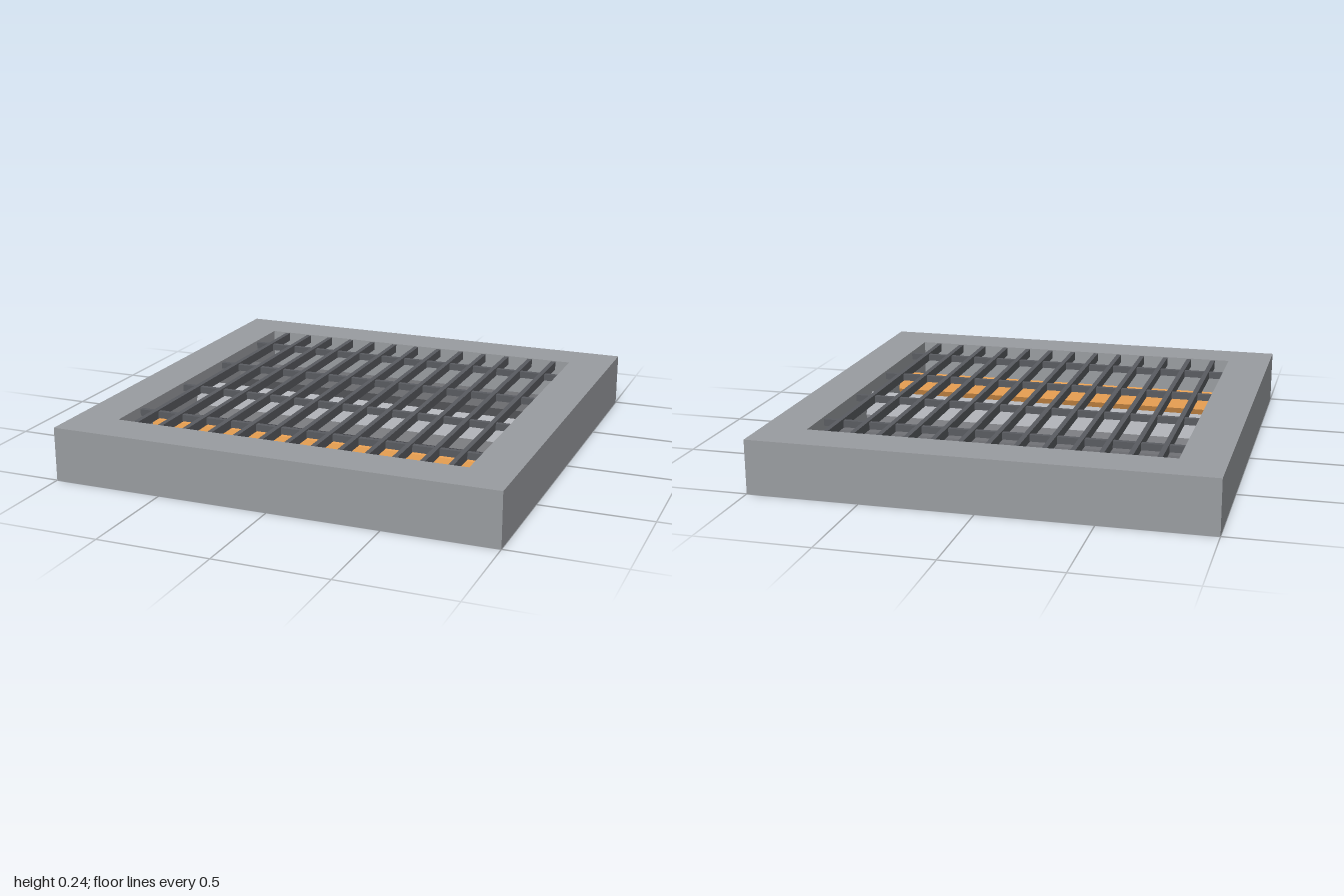
import * as THREE from 'three';

const flat = (name, color, flatShading = false) => {
  const m = new THREE.MeshStandardMaterial({ color, flatShading });
  m.name = name;
  return m;
};

export function createModel() {
  const model = new THREE.Group();
  model.name = 'floorGrateTile';
  const frameGray = flat('frame gray', 0x9a9da1);
  const grateGray = flat('grate gray', 0x5a5c61);
  const pitDark = flat('pit dark', 0x2d2d35);
  const glowCyan = flat('strip cyan', 0x4cbccd);
  const pipeDark = flat('pipe dark gray', 0x6a6b6f, true);
  const pipeLight = flat('pipe light gray', 0xb0b2b7, true);
  const pipeOrange = flat('pipe orange', 0xe39c50, true);

  const HEIGHT = 0.24, INNER = 0.8;

  const add = (parent, name, geometry, material, x, y, z) => {
    const mesh = new THREE.Mesh(geometry, material);
    mesh.name = name;
    mesh.position.set(x, y, z);
    parent.add(mesh);
    return mesh;
  };

  // Square frame with a square opening
  const square = (Type, r) => new Type([[-r, -r], [r, -r], [r, r], [-r, r]].map(p => new THREE.Vector2(...p)));
  const outline = square(THREE.Shape, 1);
  outline.holes.push(square(THREE.Path, INNER));
  const frameGeo = new THREE.ExtrudeGeometry(outline, { depth: HEIGHT, bevelEnabled: false });
  frameGeo.rotateX(-Math.PI / 2);
  add(model, 'frame', frameGeo, frameGray, 0, 0, 0);

  // Pit floor closing the underside
  add(model, 'pitFloor', new THREE.BoxGeometry(INNER * 2, 0.02, INNER * 2), pitDark, 0, 0.01, 0);

  // Eight-sided pipes running left to right
  const pipes = new THREE.Group();
  pipes.name = 'pipes';
  model.add(pipes);
  for (const [name, z, radius, material] of [
    ['backPipe', -0.45, 0.07, pipeDark],
    ['middlePipe', 0, 0.09, pipeLight],
    ['frontPipe', 0.45, 0.07, pipeOrange],
  ]) {
    const geo = new THREE.CylinderGeometry(radius, radius, INNER * 2, 8);
    geo.rotateZ(Math.PI / 2);
    add(pipes, name, geo, material, 0, 0.1, z);
  }

  // Light strips low in the pit
  for (const z of [-0.22, 0.22]) {
    add(model, 'lightStrip', new THREE.BoxGeometry(INNER * 2, 0.03, 0.06), glowCyan, 0, 0.035, z);
  }

  // Grate: long bars front to back, with cross bars just below their tops
  const grate = new THREE.Group();
  grate.name = 'grate';
  model.add(grate);
  const barGeo = new THREE.BoxGeometry(0.022, 0.04, INNER * 2);
  for (let i = -6; i <= 6; i++) add(grate, 'longBar', barGeo, grateGray, i * 0.12, 0.217, 0);
  const crossGeo = new THREE.BoxGeometry(INNER * 2, 0.03, 0.022);
  for (const z of [-0.6, -0.2, 0.2, 0.6]) add(grate, 'crossBar', crossGeo, grateGray, 0, 0.215, z);

  return model;
}
